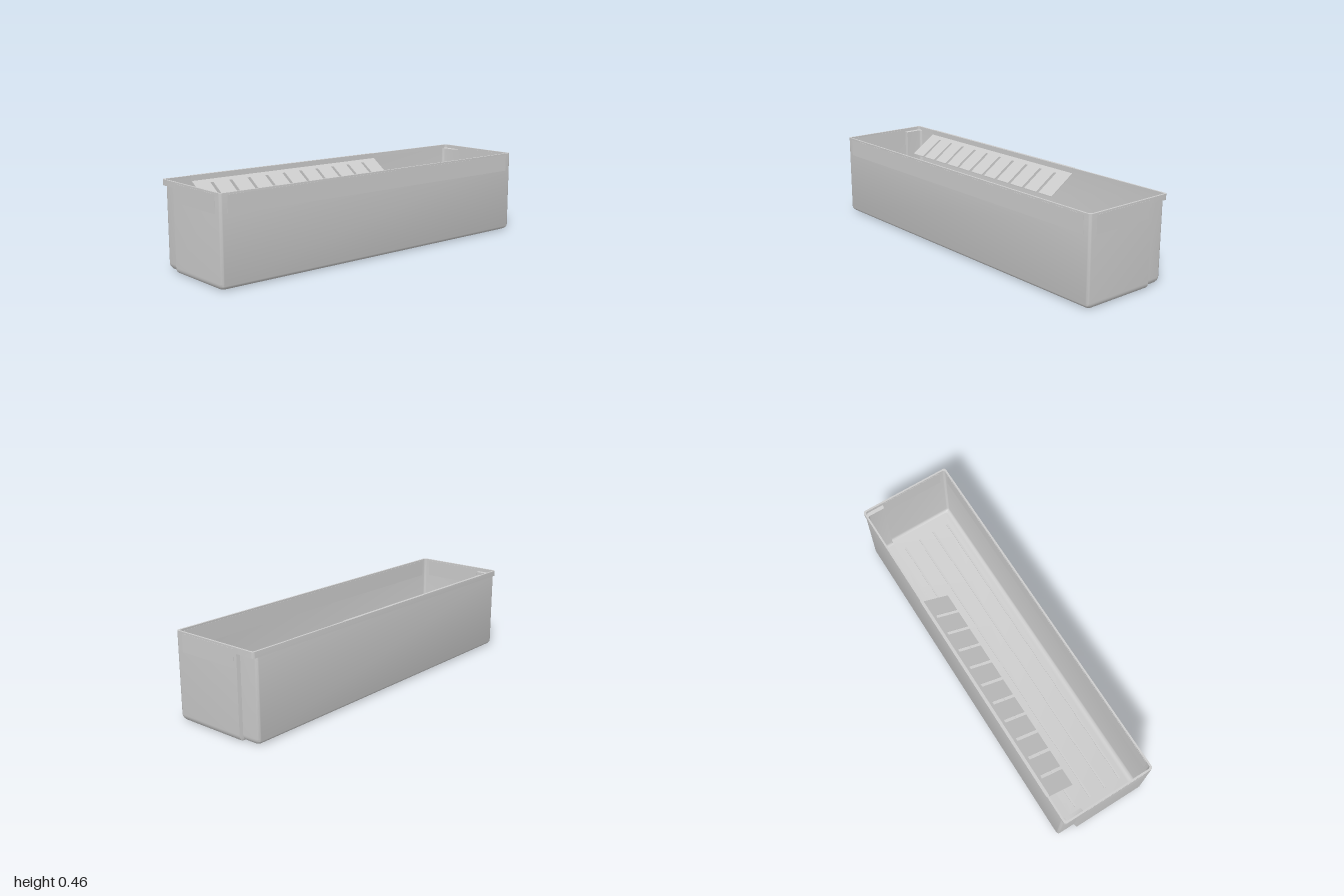
import * as THREE from 'three';
import { toCreasedNormals } from 'three/addons/utils/BufferGeometryUtils.js';

const W = 0.26, L = 1, H = 0.455, T = 0.01;   // half width, half length, height, wall

// Plan outline of the bin at one height; the corners on the -x side can be recessed
function ring(y, inX, inZ, notch, stepX) {
  const r = 0.014, half = [];
  const x = W - inX, z = L - inZ;
  for (let i = 0; i <= 4; i++) {
    const a = (i / 4) * Math.PI / 2;
    half.push([-x + r * (1 - Math.cos(a)), z - notch - r * (1 - Math.sin(a))]);
  }
  half.push([stepX, z - notch], [stepX + 0.003, z]);
  for (let i = 0; i <= 4; i++) {
    const a = (i / 4) * Math.PI / 2;
    half.push([x - r * (1 - Math.sin(a)), z - r * (1 - Math.cos(a))]);
  }
  const back = half.map(([px, pz]) => [px, -pz]).reverse();
  return [...half, ...back].map(([px, pz]) => [px, y, pz]);
}

function shellGeometry() {
  const rings = [], depth = 0.02, outStep = -0.155, inStep = -0.147;
  // outside: rounded base, wall, full-width rim
  for (let i = 0; i <= 5; i++) {
    const a = (i / 5) * Math.PI / 2, s = 1 - Math.sin(a);
    rings.push(ring(0.03 * (1 - Math.cos(a)), 0.032 * s, 0.02 * s, depth, outStep));
  }
  rings.push(ring(0.425, 0, 0, depth, outStep));
  rings.push(ring(0.425, 0, 0, 0, outStep));
  rings.push(ring(H, 0, 0, 0, outStep));
  // inside: rim, recessed corner columns, rounded floor edge
  rings.push(ring(H, T, T, 0, inStep));
  rings.push(ring(0.436, T, T, 0, inStep));
  rings.push(ring(0.434, T, T, depth, inStep));
  for (let i = 0; i <= 4; i++) {
    const a = (i / 4) * Math.PI / 2, s = 1 - Math.cos(a);
    rings.push(ring(T + 0.024 * (1 - Math.sin(a)), T + 0.024 * s, T + 0.014 * s, depth, inStep));
  }
  const n = rings[0].length, idx = [];
  for (let k = 0; k < rings.length - 1; k++) {
    for (let i = 0; i < n; i++) {
      const j = (i + 1) % n, a = k * n, b = a + n;
      idx.push(a + i, a + j, b + j, a + i, b + j, b + i);
    }
  }
  // underside and floor, spanned between mirrored front and back points
  const last = (rings.length - 1) * n;
  for (let i = 0; i < n / 2 - 1; i++) {
    const p = i, q = i + 1, mp = n - 1 - p, mq = n - 1 - q;
    idx.push(p, mp, mq, p, mq, q);
    idx.push(last + p, last + mq, last + mp, last + p, last + q, last + mq);
  }
  const geo = new THREE.BufferGeometry();
  geo.setAttribute('position', new THREE.Float32BufferAttribute(rings.flat(2), 3));
  geo.setIndex(idx);
  return toCreasedNormals(geo, 0.6);
}

// Sloping comb plate with slots open at its lower edge
function combGeometry(x0, x1, y0, y1, z0, z1) {
  const s = new THREE.Shape();
  s.moveTo(x0, -z1);
  s.lineTo(x1, -z1);
  for (let i = 9; i >= 0; i--) {
    const z = -0.273 + i * 0.1122;
    s.lineTo(x1, -z - 0.009);
    s.lineTo(-0.226, -z - 0.009);
    s.lineTo(-0.226, -z + 0.009);
    s.lineTo(x1, -z + 0.009);
  }
  s.lineTo(x1, -z0);
  s.lineTo(x0, -z0);
  const geo = new THREE.ExtrudeGeometry(s, { depth: 0.006, bevelEnabled: false });
  geo.rotateX(-Math.PI / 2);
  const p = geo.attributes.position;
  for (let i = 0; i < p.count; i++) {
    p.setY(i, p.getY(i) - 0.006 + y0 + (p.getX(i) - x0) / (x1 - x0) * (y1 - y0));
  }
  geo.computeVertexNormals();
  return geo;
}

export function createModel() {
  const group = new THREE.Group();
  const mat = new THREE.MeshStandardMaterial({ color: 0xcccccc });
  const add = (name, geo, x = 0, y = 0, z = 0) => {
    const m = new THREE.Mesh(geo, mat);
    m.name = name;
    m.position.set(x, y, z);
    group.add(m);
    return m;
  };
  const box = (name, w, h, d, x, y, z) => add(name, new THREE.BoxGeometry(w, h, d), x, y, z);

  add('binShell', shellGeometry());

  // Floor ribs
  for (const x of [-0.19, -0.097, 0, 0.095, 0.19]) box('floorRib', 0.01, 0.006, 1.81, x, T + 0.001, 0);

  // Shallow label bands on the two ends and the +x side
  for (const s of [-1, 1]) box('endBand', 0.35, 0.092, T + 0.002, 0.043, 0.4, s * (L - T / 2));
  box('sideBand', T + 0.002, 0.092, 1.92, W - T / 2, 0.4, 0);

  // Clip-on comb: lip over the rim and sloping slotted plate
  const z0 = -0.38, z1 = 0.84, zc = (z0 + z1) / 2, len = z1 - z0;
  box('combLipTop', 0.016, 0.002, len, -0.255, H, zc);
  box('combLipOuter', 0.003, 0.008, len, -0.2615, 0.452, zc);
  box('combLipInner', 0.003, 0.03, len, -0.2485, 0.441, zc);
  add('combPlate', combGeometry(-0.25, -0.1, 0.43, 0.33, z0, z1));

  return group;
}
